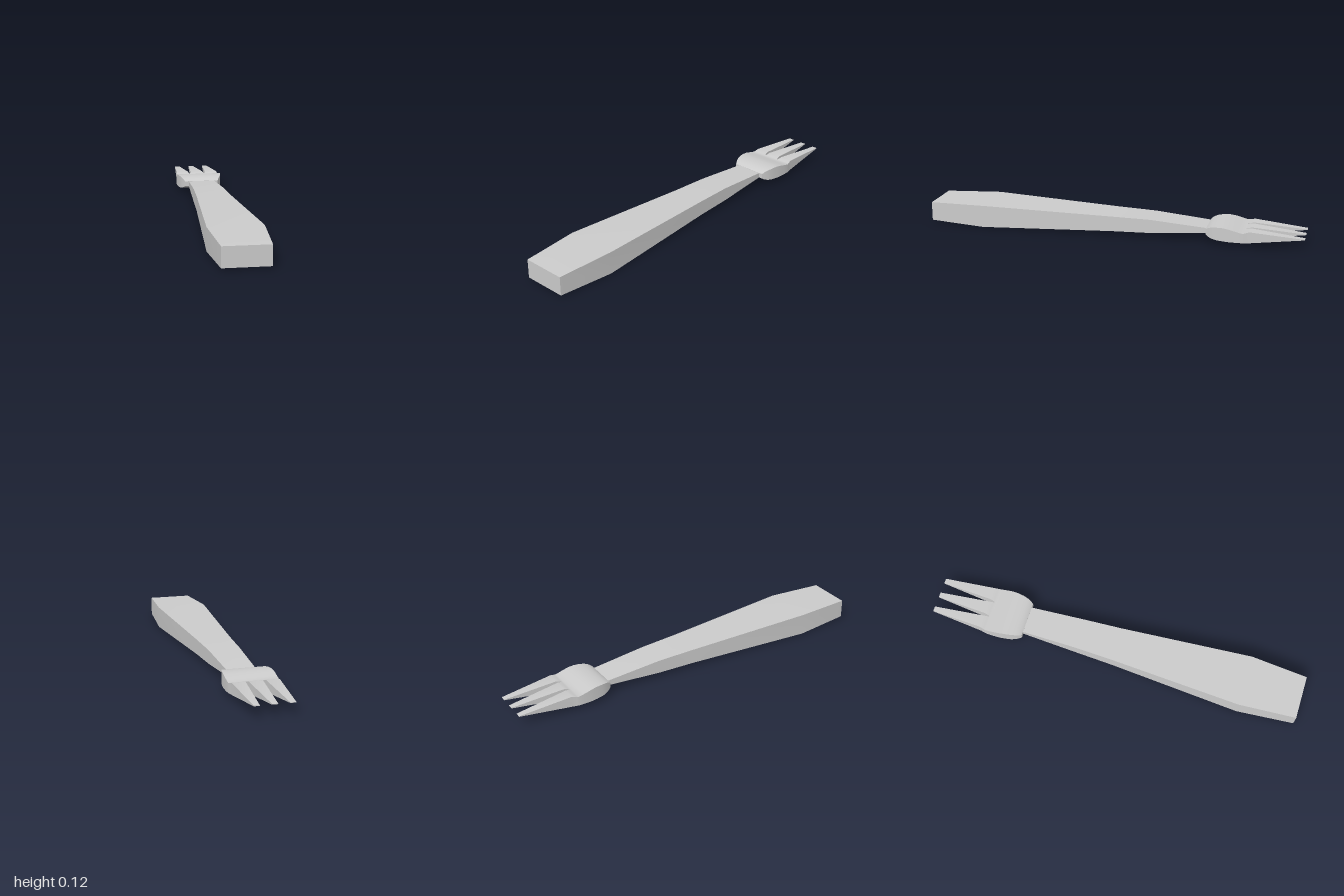
import * as THREE from 'three';
import { toCreasedNormals } from 'three/addons/utils/BufferGeometryUtils.js';

const material = new THREE.MeshStandardMaterial({ color: 0xcccccc });

// Lofts rectangular sections [z, xMin, xMax, yMin, yMax], listed from +z to -z
function loft(name, sections, crease = 0.5) {
  const positions = [];
  const index = [];
  for (const [z, x0, x1, y0, y1] of sections) {
    positions.push(x0, y0, z, x1, y0, z, x1, y1, z, x0, y1, z);
  }
  for (let s = 0; s < sections.length - 1; s++) {
    for (let k = 0; k < 4; k++) {
      const a = s * 4 + k;
      const b = s * 4 + ((k + 1) % 4);
      index.push(a, a + 4, b, b, a + 4, b + 4);
    }
  }
  // End caps
  const e = (sections.length - 1) * 4;
  index.push(0, 1, 2, 0, 2, 3, e, e + 2, e + 1, e, e + 3, e + 2);

  const geometry = new THREE.BufferGeometry();
  geometry.setAttribute('position', new THREE.Float32BufferAttribute(positions, 3));
  geometry.setIndex(index);
  const mesh = new THREE.Mesh(toCreasedNormals(geometry, crease), material);
  mesh.name = name;
  return mesh;
}

// Section symmetric about x = 0
const centred = ([z, half, y0, y1]) => [z, -half, half, y0, y1];

export function createModel() {
  const fork = new THREE.Group();
  fork.name = 'fork';

  // Handle: widest near the end, tapering to the neck
  fork.add(loft('handle', [
    [1, 0.115, 0.012, 0.112],
    [0.7, 0.137, 0.003, 0.121],
    [0, 0.092, 0.024, 0.104],
    [-0.2, 0.083, 0.028, 0.1],
    [-0.5, 0.073, 0.05, 0.077],
  ].map(centred)));

  // Head: rounded shoulder dipping towards the tines
  fork.add(loft('head', [
    [-0.498, 0.095, 0.05, 0.078],
    [-0.51, 0.101, 0.042, 0.087],
    [-0.53, 0.11, 0.035, 0.094],
    [-0.555, 0.117, 0.031, 0.098],
    [-0.59, 0.122, 0.029, 0.099],
    [-0.62, 0.125, 0.028, 0.095],
    [-0.66, 0.125, 0.028, 0.085],
    [-0.69, 0.124, 0.028, 0.078],
    [-0.7, 0.122, 0.028, 0.08],
  ].map(centred), 0.7));

  // Tines: a raised shoulder, then a long taper to a thin tip
  const tines = new THREE.Group();
  tines.name = 'tines';
  const tine = (name, base, shoulder, tip) => loft(name, [
    [-0.7, ...base, 0.028, 0.08],
    [-0.725, ...shoulder, 0.029, 0.087],
    [-1, ...tip, 0.062, 0.065],
  ]);
  tines.add(tine('middleTine', [-0.04, 0.04], [-0.035, 0.035], [-0.014, 0.014]));
  tines.add(tine('leftTine', [0.045, 0.122], [0.05, 0.117], [0.071, 0.099]));
  tines.add(tine('rightTine', [-0.122, -0.045], [-0.117, -0.05], [-0.099, -0.071]));
  fork.add(tines);

  return fork;
}
